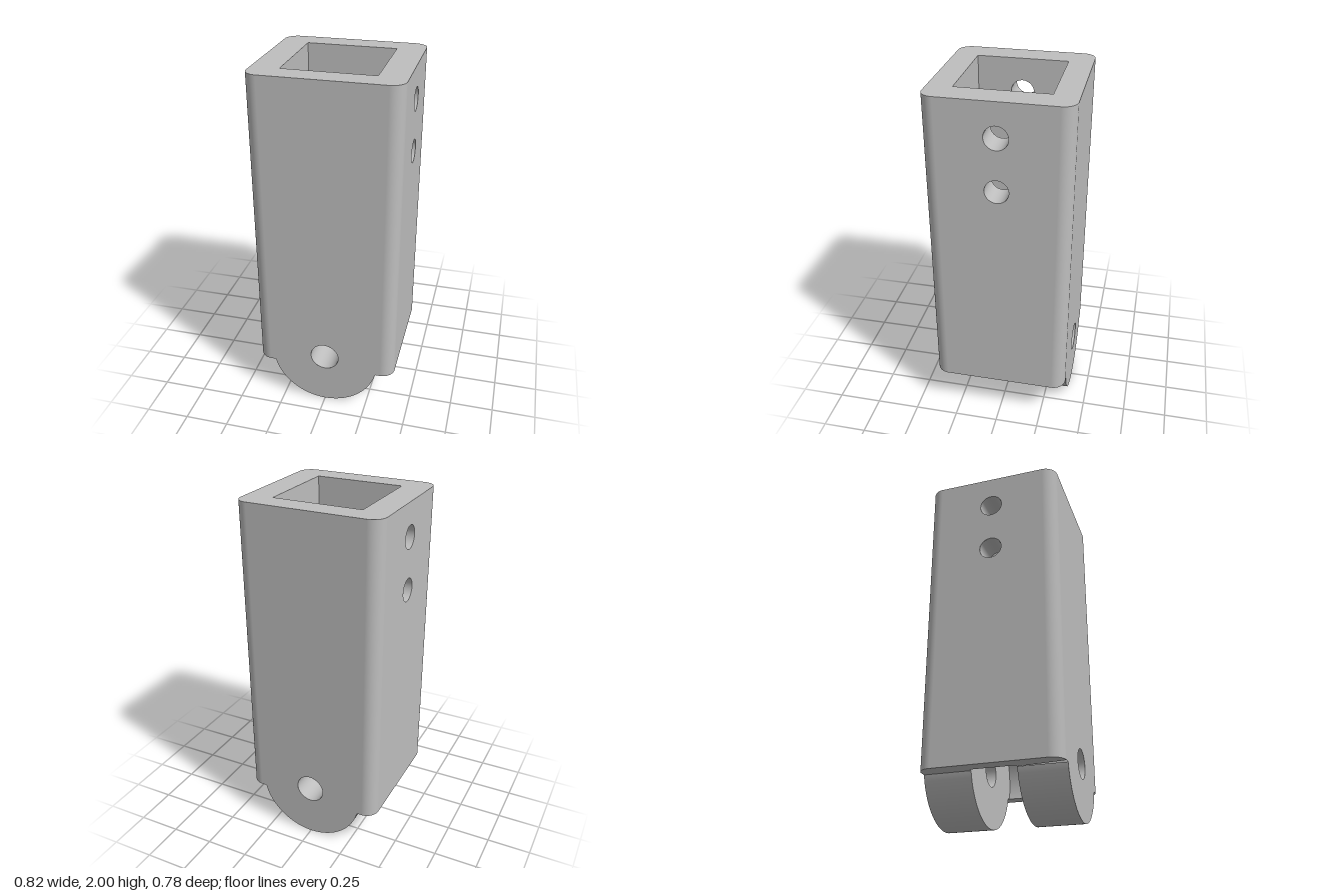
import * as THREE from 'three';

// Main dimensions
const X = 0.41, Z = 0.39, R = 0.075;        // half width, half depth, corner radius
const BASE = 0.24, TOP = 2, FLOOR = 1.0;    // underside, rim and socket floor heights
const IN = 0.254;                           // half size of the square socket
const PIN_Y = 0.315, LUG_R = 0.315, PIN_R = 0.083;
const SLOT = 0.125, POCKET_R = 0.335;       // half gap between lugs, clearance radius
const BOLT_R = 0.065, BOLT_Y = [1.81, 1.515];
const DROP = PIN_Y - BASE;
const SEG = 48;

const grey = new THREE.MeshStandardMaterial({ color: 0xbebebe, side: THREE.DoubleSide });
grey.name = 'grey';

function polygon(points) {
  return new THREE.Shape(points.map(([x, y]) => new THREE.Vector2(x, y)));
}

function rect(hw, y0, y1) {
  return polygon([[-hw, y0], [hw, y0], [hw, y1], [-hw, y1]]);
}

function punch(shape, y, r) {
  shape.holes.push(new THREE.Path().absarc(0, y, r, 0, Math.PI * 2, true));
  return shape;
}

function boltHoles(shape) {
  BOLT_Y.forEach((y) => punch(shape, y, BOLT_R));
  return shape;
}

// Outer end face: straight wall with the round lug hanging below it
function endProfile() {
  const a = Math.asin(DROP / LUG_R);
  const s = new THREE.Shape();
  s.moveTo(-X + R, TOP);
  s.lineTo(-X + R, BASE);
  s.absarc(0, PIN_Y, LUG_R, Math.PI + a, 2 * Math.PI - a, false);
  s.lineTo(X - R, BASE);
  s.lineTo(X - R, TOP);
  return punch(s, PIN_Y, PIN_R);
}

// Face of a lug inside the slot: lug arc below, pocket arc above
function slotProfile() {
  const a = Math.asin(DROP / LUG_R), b = Math.asin(DROP / POCKET_R);
  const s = new THREE.Shape();
  s.absarc(0, PIN_Y, LUG_R, Math.PI + a, 2 * Math.PI - a, false);
  s.absarc(0, PIN_Y, POCKET_R, -b, Math.PI + b, false);
  return punch(s, PIN_Y, PIN_R);
}

function rimProfile() {
  const s = new THREE.Shape(), H = Math.PI / 2;
  [[1, 1], [-1, 1], [-1, -1], [1, -1]].forEach(([sx, sz], i) =>
    s.absarc(sx * (X - R), sz * (Z - R), R, i * H, (i + 1) * H, false));
  s.holes.push(polygon([[-IN, -IN], [-IN, IN], [IN, IN], [IN, -IN]]));
  return s;
}

// Underside strip beside the lugs, notched by the pocket
function undersideProfile() {
  const lugX = Math.sqrt(LUG_R ** 2 - DROP ** 2);
  const pocketX = Math.sqrt(POCKET_R ** 2 - DROP ** 2);
  const s = new THREE.Shape();
  s.moveTo(lugX, -Z);
  s.absarc(X - R, -Z + R, R, -Math.PI / 2, 0, false);
  s.absarc(X - R, Z - R, R, 0, Math.PI / 2, false);
  [[lugX, Z], [lugX, SLOT], [pocketX, SLOT], [pocketX, -SLOT], [lugX, -SLOT]]
    .forEach(([x, z]) => s.lineTo(x, z));
  return s;
}

export function createModel() {
  const model = new THREE.Group();
  model.name = 'clevisSocket';

  const add = (name, geometry) => {
    const mesh = new THREE.Mesh(geometry, grey);
    mesh.name = name;
    model.add(mesh);
    return mesh;
  };
  // Upright face turned about y, then pushed along its own normal
  const wall = (name, shape, angle, dist) =>
    add(name, new THREE.ShapeGeometry(shape, SEG).translate(0, 0, dist).rotateY(angle));
  const level = (name, shape, y, up) =>
    add(name, new THREE.ShapeGeometry(shape, SEG).rotateX(up ? -Math.PI / 2 : Math.PI / 2).translate(0, y, 0));
  const tube = (r, length, start = 0, sweep = Math.PI * 2) =>
    new THREE.CylinderGeometry(r, r, length, SEG, 1, true, start, sweep);

  // Outer walls, socket walls and slot faces, mirrored in pairs
  for (const side of [0, 1]) {
    const sign = side ? -1 : 1, endTurn = side * Math.PI, sideTurn = sign * Math.PI / 2;
    wall('endWall', endProfile(), endTurn, Z);
    wall('sideWall', boltHoles(rect(Z - R, BASE, TOP)), sideTurn, X);
    wall('socketEndWall', rect(IN, FLOOR, TOP), endTurn, -IN);
    wall('socketSideWall', boltHoles(rect(IN, FLOOR, TOP)), sideTurn, -IN);
    wall('lugInnerFace', slotProfile(), endTurn, -SLOT);

    // Rounded lug underside and pin bore
    const t = Math.acos(DROP / LUG_R), lugZ = sign * (Z + SLOT) / 2;
    add('lugCurve', tube(LUG_R, Z - SLOT, -t, 2 * t).rotateX(Math.PI / 2).translate(0, PIN_Y, lugZ));
    add('pinBore', tube(PIN_R, Z - SLOT).rotateX(Math.PI / 2).translate(0, PIN_Y, lugZ));

    // Bolt bores through the side walls
    for (const y of BOLT_Y) {
      add('boltBore', tube(BOLT_R, X - IN).rotateZ(Math.PI / 2).translate(sign * (X + IN) / 2, y, 0));
    }

    // Underside strip
    level('underside', undersideProfile(), BASE, false).rotation.y = endTurn;
  }

  // Rounded vertical corners
  [[1, 1], [1, -1], [-1, -1], [-1, 1]].forEach(([sx, sz], i) =>
    add('corner', tube(R, TOP - BASE, i * Math.PI / 2, Math.PI / 2)
      .translate(sx * (X - R), (TOP + BASE) / 2, sz * (Z - R))));

  // Rim, socket floor and curved roof of the slot pocket
  level('rim', rimProfile(), TOP, true);
  level('socketFloor', rect(IN, -IN, IN), FLOOR, true);
  const p = Math.acos(DROP / POCKET_R);
  add('pocketRoof', tube(POCKET_R, 2 * SLOT, p, 2 * (Math.PI - p)).rotateX(Math.PI / 2).translate(0, PIN_Y, 0));

  return model;
}
